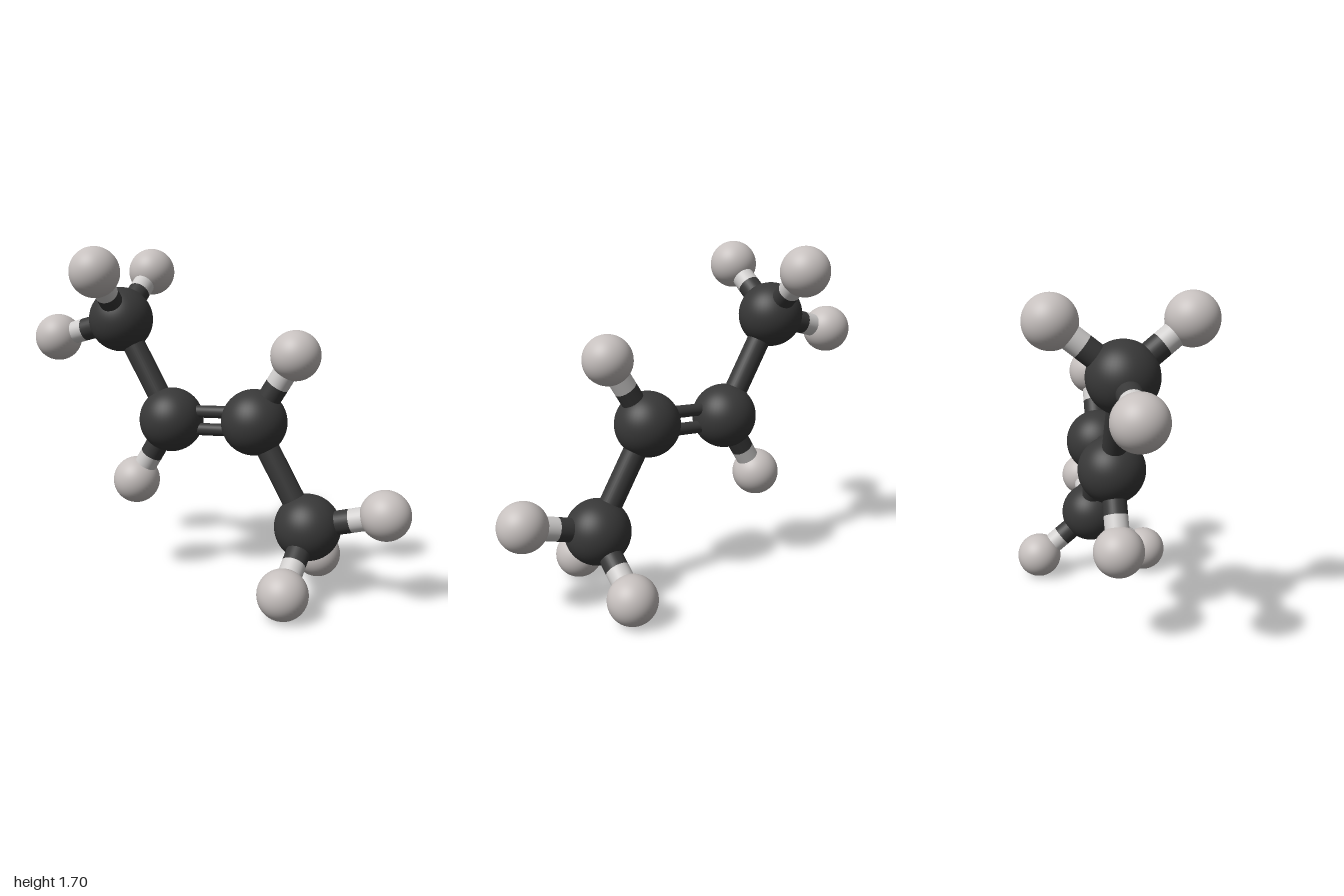
import * as THREE from 'three';

const MID_Y = 0.857, CARBON_R = 0.163, HYDROGEN_R = 0.121, BOND_R = 0.058, DOUBLE_R = 0.031;

export function createModel() {
  const model = new THREE.Group();
  model.name = 'ballAndStickModel';

  const material = (name, color) => {
    const m = new THREE.MeshStandardMaterial({ color });
    m.name = name;
    return m;
  };
  const darkGrey = material('darkGrey', 0x383838);
  const warmGrey = material('warmGrey', 0xc6c0be);
  const paleGrey = material('paleGrey', 0xd0cecd);

  const carbonGeo = new THREE.SphereGeometry(CARBON_R, 48, 32);
  const hydrogenGeo = new THREE.SphereGeometry(HYDROGEN_R, 48, 32);

  function ball(name, geometry, mat, p) {
    const mesh = new THREE.Mesh(geometry, mat);
    mesh.name = name;
    mesh.position.copy(p);
    model.add(mesh);
  }

  // Cylinder running from a to b
  function rod(name, a, b, radius, mat) {
    const dir = b.clone().sub(a);
    const mesh = new THREE.Mesh(new THREE.CylinderGeometry(radius, radius, dir.length(), 32), mat);
    mesh.name = name;
    mesh.position.copy(a).add(b).multiplyScalar(0.5);
    mesh.quaternion.setFromUnitVectors(new THREE.Vector3(0, 1, 0), dir.normalize());
    model.add(mesh);
  }

  // The two halves are half-turn copies of each other about the centre
  const at = (s, x, y, z = 0) => new THREE.Vector3(s * x, MID_Y + s * y, z);

  for (const s of [1, -1]) {
    const side = s > 0 ? 'left' : 'right';
    const inner = at(s, 0.223, 0.008);
    const outer = at(s, 0.503, -0.493);
    ball(side + 'InnerCarbon', carbonGeo, darkGrey, inner);
    ball(side + 'OuterCarbon', carbonGeo, darkGrey, outer);
    rod(side + 'CarbonBond', inner, outer, BOND_R, darkGrey);

    // Hydrogens with two-tone bonds
    const hydrogens = [
      [inner, at(s, 0.428, 0.343)],
      [outer, at(s, 0.879, -0.391)],
      [outer, at(s, 0.475, -0.731, 0.304)],
      [outer, at(s, 0.475, -0.731, -0.304)],
    ];
    hydrogens.forEach(([carbon, hydrogen], i) => {
      const split = carbon.clone().lerp(hydrogen, 0.565);
      ball(`${side}Hydrogen${i + 1}`, hydrogenGeo, warmGrey, hydrogen);
      rod(`${side}HydrogenBondInner${i + 1}`, carbon, split, BOND_R, darkGrey);
      rod(`${side}HydrogenBondOuter${i + 1}`, split, hydrogen, BOND_R, paleGrey);
    });
  }

  // Double bond between the inner carbons
  for (const dy of [0.045, -0.045]) {
    const shift = new THREE.Vector3(0, dy, 0);
    rod(dy > 0 ? 'upperDoubleBond' : 'lowerDoubleBond',
      at(-1, 0.223, 0.008).add(shift), at(1, 0.223, 0.008).add(shift), DOUBLE_R, darkGrey);
  }

  return model;
}
